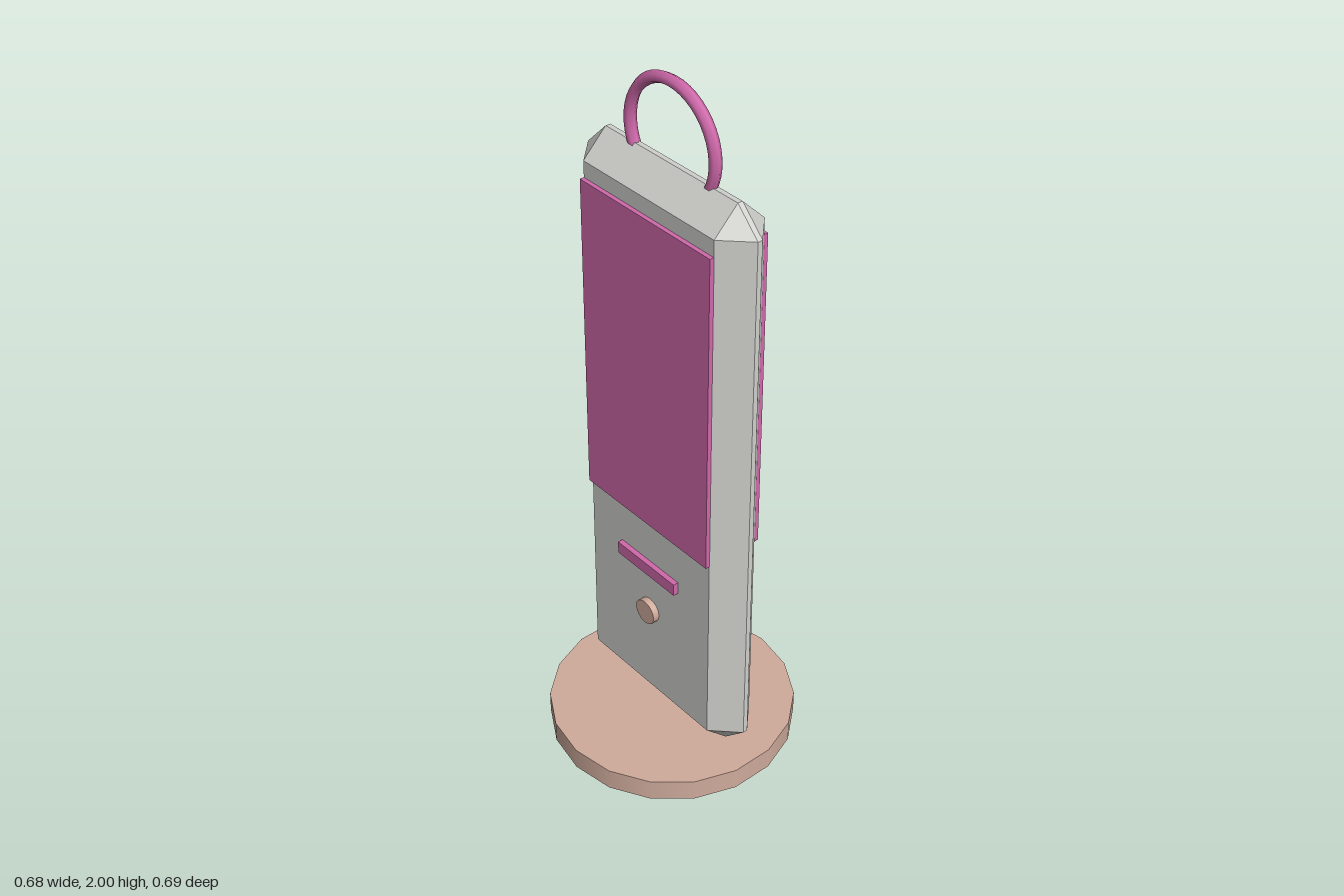
import * as THREE from 'three';
import { ConvexGeometry } from 'three/addons/geometries/ConvexGeometry.js';

const material = (name, color) => {
  const m = new THREE.MeshStandardMaterial({ color });
  m.name = name;
  return m;
};

// Box with every edge and corner cut off at 45 degrees
function chamferedBox(w, h, d, c) {
  const points = [];
  for (const sx of [-1, 1]) for (const sy of [-1, 1]) for (const sz of [-1, 1]) {
    const [x, y, z] = [w / 2, h / 2, d / 2];
    points.push(
      new THREE.Vector3(sx * x, sy * (y - c), sz * (z - c)),
      new THREE.Vector3(sx * (x - c), sy * y, sz * (z - c)),
      new THREE.Vector3(sx * (x - c), sy * (y - c), sz * z));
  }
  return new ConvexGeometry(points);
}

export function createModel() {
  const group = new THREE.Group();
  const grey = material('light grey', 0xcfcfcc);
  const pink = material('pink', 0xd069ab);
  const beige = material('dusty beige', 0xcfab9c);

  const add = (name, geometry, mat, x, y, z) => {
    const mesh = new THREE.Mesh(geometry, mat);
    mesh.name = name;
    mesh.position.set(x, y, z);
    group.add(mesh);
    return mesh;
  };

  // Round foot, just below the body
  add('base', new THREE.CylinderGeometry(0.345, 0.345, 0.065, 18), beige, 0, 0.0325, 0);

  // Slab body
  add('body', chamferedBox(0.614, 1.695, 0.154, 0.07), grey, 0, 0.9275, 0);

  // Same details on the front and the back
  for (const [side, s] of [['front', 1], ['back', -1]]) {
    add(side + 'Panel', new THREE.BoxGeometry(0.475, 0.923, 0.02), pink, 0, 1.198, s * 0.079);
    add(side + 'Slot', new THREE.BoxGeometry(0.23, 0.037, 0.03), pink, 0, 0.582, s * 0.077);
    add(side + 'Button', new THREE.CylinderGeometry(0.037, 0.037, 0.04, 16), beige, 0, 0.429, s * 0.076)
      .rotation.x = s * Math.PI / 2;
  }

  // Carrying loop, its ends sunk into the top edge
  const dip = 0.5;
  add('loop', new THREE.TorusGeometry(0.152, 0.016, 6, 28, Math.PI + 2 * dip), pink, 0, 1.832, 0)
    .rotation.z = -dip;

  return group;
}
